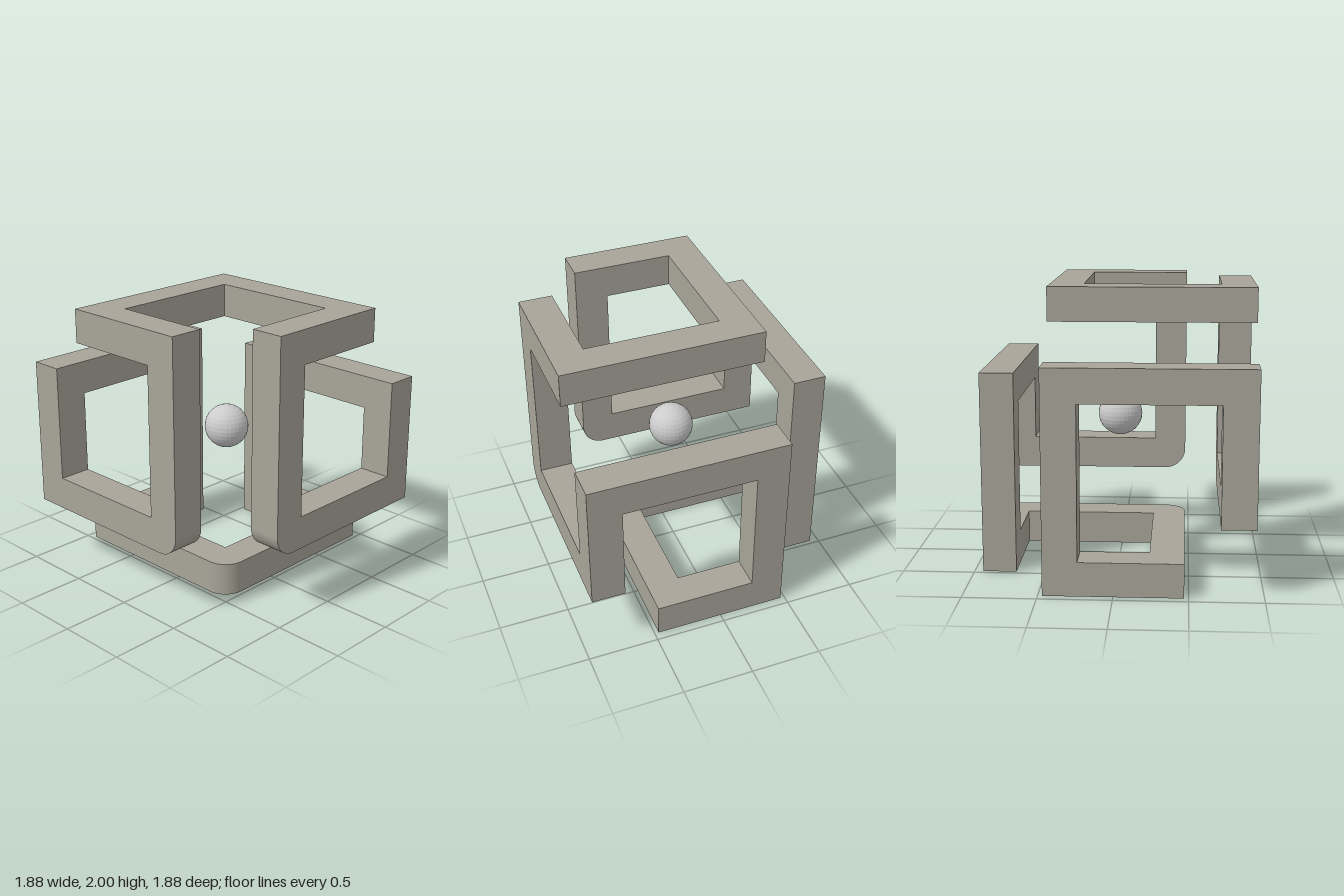
import * as THREE from 'three';

const W = 0.235;          // bar thickness
const H = W / 2;
const ROUND = 0.155;      // radius of the eased corners

// Centre line of the closed, square-sectioned path: [x, y, z, rounded corner?]
const A = 0.353, B = 0.823;
const PATH = [
  // top frame
  [-B, 1.883, A], [-B, 1.883, -A], [A, 1.883, -A], [A, 1.883, B], [-A, 1.883, B],
  // front frame
  [-A, 0.59, B, true], [B, 0.59, B], [B, 1.295, B],
  // right frame
  [B, 1.295, -A], [B, H, -A],
  // bottom frame
  [B, H, A], [-A, H, A, true], [-A, H, -B],
  // back frame
  [A, H, -B], [A, 1.412, -B], [-B, 1.412, -B],
  // left frame
  [-B, 0.59, -B], [-B, 0.59, A, true],
];

// Square block with its outer (+x, +y) corner rounded
function roundedCornerGeometry() {
  const s = new THREE.Shape();
  s.moveTo(-H, -H);
  s.lineTo(H, -H);
  s.lineTo(H, H - ROUND);
  s.absarc(H - ROUND, H - ROUND, ROUND, 0, Math.PI / 2, false);
  s.lineTo(-H, H);
  s.closePath();
  const geo = new THREE.ExtrudeGeometry(s, { depth: W, bevelEnabled: false, curveSegments: 12 });
  return geo.translate(0, 0, -H);
}

export function createModel() {
  const model = new THREE.Group();
  model.name = 'knottedCubeFrame';
  const barMat = new THREE.MeshStandardMaterial({ color: 0xa8a499 });
  const ballMat = new THREE.MeshStandardMaterial({ color: 0xcccccc, flatShading: true });

  const frame = new THREE.Group();
  frame.name = 'frame';
  model.add(frame);

  const nodes = PATH.map(([x, y, z]) => new THREE.Vector3(x, y, z));
  const n = nodes.length;
  const direction = (i) => nodes[(i + 1) % n].clone().sub(nodes[i % n]).normalize();
  const cornerGeo = roundedCornerGeometry();

  for (let i = 0; i < n; i++) {
    const j = (i + 1) % n;
    const dir = direction(i);
    const rounded = PATH[j][3];

    // Each bar starts past its first corner and includes the block of its last one
    const start = nodes[i].clone().addScaledVector(dir, H);
    const end = nodes[j].clone().addScaledVector(dir, rounded ? -H : H);
    const length = start.distanceTo(end);
    const size = [dir.x, dir.y, dir.z].map((c) => (Math.abs(c) > 0.5 ? length : W));
    const bar = new THREE.Mesh(new THREE.BoxGeometry(...size), barMat);
    bar.name = 'bar' + (i + 1);
    bar.position.copy(start).lerp(end, 0.5);
    frame.add(bar);

    // Rounded corner block, facing outward from the turn
    if (rounded) {
      const out = direction(j).negate();
      const basis = new THREE.Matrix4().makeBasis(dir, out, dir.clone().cross(out));
      const corner = new THREE.Mesh(cornerGeo, barMat);
      corner.name = 'roundedCorner' + (j + 1);
      corner.quaternion.setFromRotationMatrix(basis);
      corner.position.copy(nodes[j]);
      frame.add(corner);
    }
  }

  // Ball floating in the middle
  const ball = new THREE.Mesh(new THREE.SphereGeometry(0.157, 32, 16), ballMat);
  ball.name = 'ball';
  ball.position.set(0, 1.05, 0.018);
  model.add(ball);

  return model;
}
